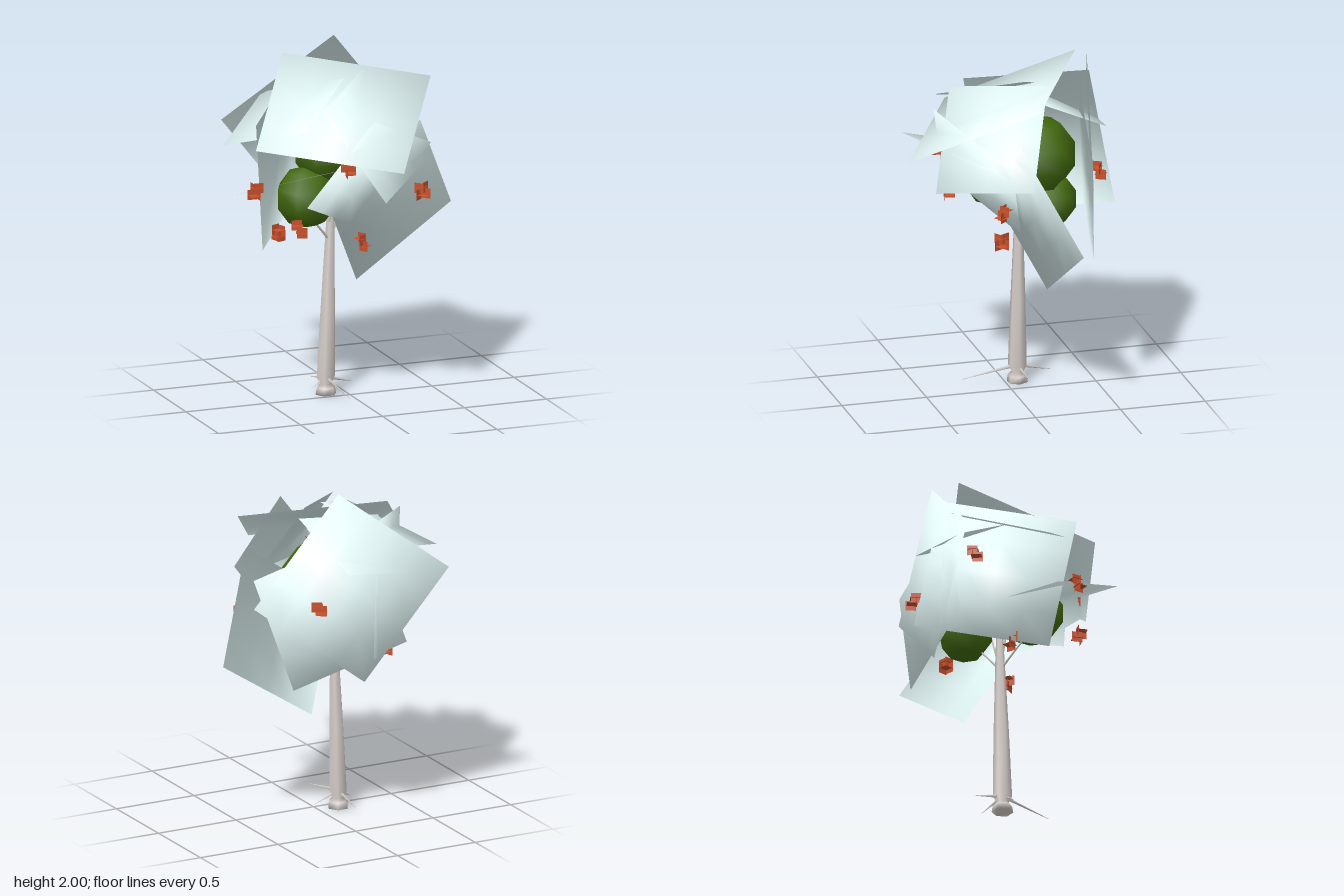
import * as THREE from 'three';

const mat = (color) => new THREE.MeshStandardMaterial({ color, side: THREE.DoubleSide });
const leafMat = mat(0xe4f8f8);
const coreMat = mat(0x42690f);
const fruitMat = mat(0xc8502c);
const barkMat = mat(0xd8d0cc);
const crownCentre = new THREE.Vector3(-0.05, 1.25, -0.05);

function add(parent, name, geometry, material) {
  const mesh = new THREE.Mesh(geometry, material);
  mesh.name = name;
  parent.add(mesh);
  return mesh;
}

// Flat card from one corner and its two neighbours; normals fan out from the
// crown centre so the foliage shades as one round mass. inward turns it over.
function cardGeometry(p, a, b, inward) {
  const [P, A, B] = [p, a, b].map((c) => new THREE.Vector3(...c));
  const u = A.clone().sub(P), v = B.clone().sub(P), n = 4;
  const middle = A.clone().add(B).multiplyScalar(0.5).sub(crownCentre);
  const facesOut = u.clone().cross(v).dot(middle) > 0;
  const keep = facesOut !== Boolean(inward);
  const pos = [], normal = [], index = [];
  for (let j = 0; j <= n; j++)
    for (let i = 0; i <= n; i++) {
      const q = P.clone().addScaledVector(u, i / n).addScaledVector(v, j / n);
      pos.push(...q.toArray());
      normal.push(...q.sub(crownCentre).normalize().toArray());
      if (i === n || j === n) continue;
      const k = j * (n + 1) + i, m = k + n + 1;
      if (keep) index.push(k, k + 1, m + 1, k, m + 1, m);
      else index.push(k, m + 1, k + 1, k, m, m + 1);
    }
  const g = new THREE.BufferGeometry();
  g.setAttribute('position', new THREE.Float32BufferAttribute(pos, 3));
  g.setAttribute('normal', new THREE.Float32BufferAttribute(normal, 3));
  g.setIndex(index);
  return g;
}

// Thin tapering limb between two points
function limb(parent, name, from, to, r0, r1) {
  const a = new THREE.Vector3(...from), b = new THREE.Vector3(...to);
  const dir = b.clone().sub(a);
  const mesh = add(parent, name, new THREE.CylinderGeometry(r1, r0, dir.length(), 4), barkMat);
  mesh.position.copy(a).add(b).multiplyScalar(0.5);
  mesh.quaternion.setFromUnitVectors(new THREE.Vector3(0, 1, 0), dir.normalize());
}

// Six-sided trunk lofted through rings of [y, x, z, radius]
function trunkGeometry() {
  const rings = [
    [0, -0.12, -0.07, 0.062], [0.04, -0.12, -0.07, 0.055], [0.06, -0.12, -0.07, 0.034],
    [0.1, -0.12, -0.07, 0.055], [0.5, -0.108, -0.07, 0.044], [0.95, -0.095, -0.07, 0.027], [1.15, -0.09, -0.07, 0.018],
  ];
  const n = 6, pos = [], index = [];
  for (const [y, x, z, r] of rings)
    for (let i = 0; i < n; i++) {
      const t = (i / n) * Math.PI * 2;
      pos.push(x + r * Math.cos(t), y, z + r * Math.sin(t));
    }
  for (let k = 0; k < rings.length - 1; k++)
    for (let i = 0; i < n; i++) {
      const a = k * n + i, b = k * n + (i + 1) % n;
      index.push(a, a + n, b, b, a + n, b + n);
    }
  for (let i = 1; i < n - 1; i++) index.push(0, i, i + 1);
  const g = new THREE.BufferGeometry();
  g.setAttribute('position', new THREE.Float32BufferAttribute(pos, 3));
  g.setIndex(index);
  g.computeVertexNormals();
  return g;
}

export function createModel() {
  const tree = new THREE.Group();
  tree.name = 'tree';

  // Trunk, root spikes and upper branches
  add(tree, 'trunk', trunkGeometry(), barkMat);
  for (const tip of [[0.05, 0.05, -0.1], [-0.21, 0.05, -0.05], [-0.1, 0.05, 0.26], [-0.13, 0.05, -0.27]])
    limb(tree, 'rootSpike', [-0.12, 0.1, -0.07], tip, 0.012, 0.001);
  for (const tip of [[-0.27, 1.1, 0.02], [0.05, 1.12, -0.2], [-0.13, 1.4, 0], [0.04, 1.35, -0.1]])
    limb(tree, 'branch', [-0.095, 0.9, -0.07], tip, 0.008, 0.004);

  // Dark inner foliage masses
  const core = new THREE.Group();
  core.name = 'innerFoliage';
  tree.add(core);
  for (const [x, y, z, r] of [[0.03, 1.41, -0.14, 0.23], [-0.28, 1.2, 0.03, 0.18], [0.05, 1.14, -0.21, 0.16], [-0.16, 1.45, 0, 0.18]])
    add(core, 'foliageMass', new THREE.SphereGeometry(r, 7, 5), coreMat).position.set(x, y, z);

  // Large leaf cards around the crown
  const crown = new THREE.Group();
  crown.name = 'leafCards';
  tree.add(crown);
  const cards = [
    [[0.08, 1.45, 0.63], [0.5, 1.82, -0.02], [-0.655, 1.55, 0.205]],
    [[0.11, 0.62, -0.18], [0.705, 1.01, -0.225], [-0.19, 1.2, 0.105], true],
    [[0.47, 1.34, 0], [0.15, 1.86, -0.17], [0.04, 1.235, 0.455]],
    [[-0.03, 1.72, 0.45], [-0.38, 1.21, 0.3], [0.447, 1.47, 0.12]],
    [[0.07, 2.0, -0.425], [0.56, 1.36, -0.325], [-0.55, 1.52, -0.595]],
    [[-0.525, 0.895, -0.02], [-0.615, 1.67, 0.107], [-0.05, 1.05, -0.625]],
    [[0.56, 1.53, -0.32], [0.34, 0.86, -0.39], [-0.11, 1.75, -0.43]],
    [[-0.437, 1.5, -0.555], [-0.357, 1.72, -0.1], [0.065, 1.55, -0.545], true],
    [[-0.715, 1.5, -0.145], [-0.405, 1.67, 0.34], [-0.315, 1.67, -0.56]],
    [[-0.38, 1.47, 0.54], [0.27, 1.44, 0.24], [-0.69, 1.225, -0.065], true],
  ];
  for (const c of cards) add(crown, 'leafCard', cardGeometry(...c), leafMat);

  // Blossom clusters: small squares crossed and stacked
  const blossoms = [
    [-0.62, 1.285, 0.11], [0.38, 1.2, 0.155], [-0.16, 1.44, 0.38], [0.05, 0.91, 0.07], [-0.41, 1.08, 0.26],
    [-0.37, 0.945, -0.17], [0.21, 1.345, -0.455], [0.27, 1.035, -0.195], [-0.335, 1.45, -0.4],
  ];
  const square = new THREE.PlaneGeometry(0.06, 0.06);
  blossoms.forEach((p, i) => {
    const cluster = new THREE.Group();
    cluster.name = 'blossomCluster';
    cluster.position.set(...p);
    cluster.rotation.y = i * 0.7;
    for (const s of [-1, 1]) {
      add(cluster, 'petal', square, fruitMat).position.set(0.015 * s, 0.02 * s, 0.012 * s);
      const side = add(cluster, 'petal', square, fruitMat);
      side.rotation.y = Math.PI / 2;
      side.position.set(0.012 * s, -0.015 * s, 0.015 * s);
      const flat = add(cluster, 'petal', square, fruitMat);
      flat.rotation.x = -Math.PI / 2;
      flat.position.set(0.01 * s, 0.022 * s, -0.01 * s);
    }
    tree.add(cluster);
  });
  return tree;
}
